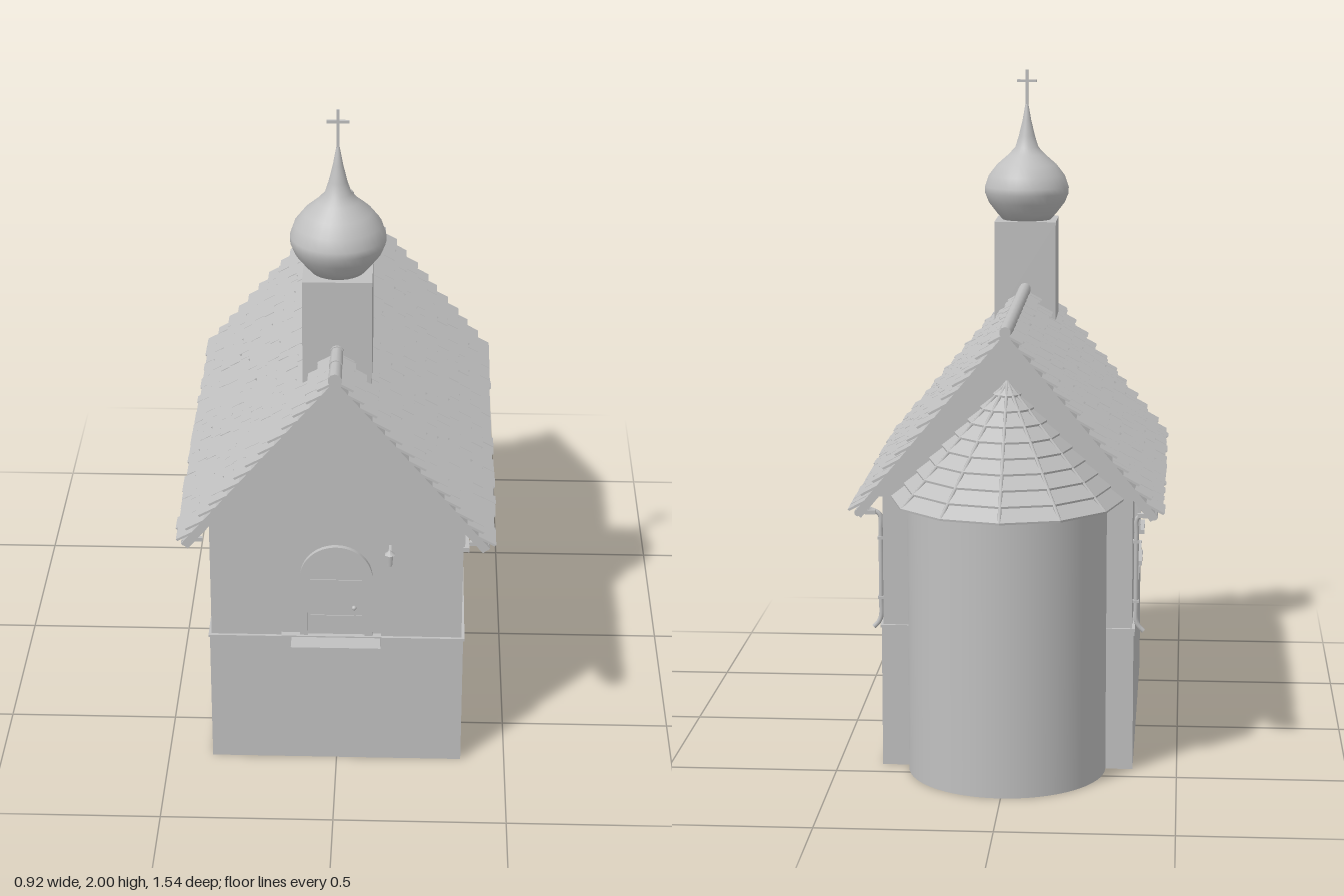
import * as THREE from 'three';
import { mergeGeometries, toCreasedNormals } from 'three/addons/utils/BufferGeometryUtils.js';

const stone = new THREE.MeshStandardMaterial({ color: 0xc0c0c0 });
stone.name = 'stone grey';

function add(parent, name, geometry, x = 0, y = 0, z = 0) {
  const mesh = new THREE.Mesh(geometry, stone);
  mesh.name = name;
  mesh.position.set(x, y, z);
  parent.add(mesh);
  return mesh;
}
function subgroup(parent, name) {
  const g = new THREE.Group();
  g.name = name;
  parent.add(g);
  return g;
}
const box = (w, h, d) => new THREE.BoxGeometry(w, h, d);
const extrude = (shape, depth) =>
  new THREE.ExtrudeGeometry(shape, { depth, bevelEnabled: false, curveSegments: 12 });

function flat(geometry) {
  const g = geometry.toNonIndexed();
  g.computeVertexNormals();
  return g;
}
// Small seeded generator for the uneven shingles
function seeded(seed) {
  return () => (seed = (seed * 16807) % 2147483647) / 2147483647;
}
// Round-headed outline standing on y = 0
function arch(Type, halfWidth, height, bottom = 0) {
  const s = new Type();
  s.moveTo(-halfWidth, bottom);
  s.lineTo(halfWidth, bottom);
  s.lineTo(halfWidth, height - halfWidth);
  s.absarc(0, height - halfWidth, halfWidth, 0, Math.PI, false);
  s.closePath();
  return s;
}
function archFrame(outer, inner, height, depth) {
  const s = arch(THREE.Shape, outer, height);
  s.holes.push(arch(THREE.Path, inner, height - (outer - inner), 0.006));
  return toCreasedNormals(extrude(s, depth), 0.6);
}

// Walls: plinth, gabled nave above it and the ledge stones between them
function buildWalls(root) {
  const walls = subgroup(root, 'walls');
  add(walls, 'plinth', box(0.74, 0.42, 1.12), 0, 0.21, 0.13);
  const gable = new THREE.Shape([[-0.365, 0.4], [0.365, 0.4], [0.365, 0.845], [0, 1.28], [-0.365, 0.845]]
    .map(p => new THREE.Vector2(...p)));
  add(walls, 'nave', extrude(gable, 1.11), 0, 0, -0.425);
  add(walls, 'ledge', box(0.748, 0.008, 1.128), 0, 0.424, 0.13);
  for (const s of [-1, 1]) {
    for (let i = 0; i < 9; i++)
      add(walls, 'sideLedgeTab', box(0.006, 0.022, 0.008), s * 0.37, 0.41, -0.4 + i * 0.132);
    for (const x of [0.2, 0.33])
      add(walls, 'frontLedgeTab', box(0.008, 0.022, 0.006), s * x, 0.41, 0.69);
  }
}

// One roof slope, hanging from the ridge towards +x
const PITCH = Math.atan2(0.53, 0.44);
const ROOF_LENGTH = 1.28;
function buildSlope(parent, seed) {
  const slope = subgroup(parent, 'roofSlope');
  slope.position.y = 1.31;
  slope.rotation.z = -PITCH;
  add(slope, 'roofDeck', box(0.685, 0.025, ROOF_LENGTH), 0.3425, -0.0125);
  const random = seeded(seed);
  const tiles = [];
  const rows = 13, step = 0.685 / rows;
  for (let r = 0; r < rows; r++) {
    let z = -ROOF_LENGTH / 2;
    while (z < ROOF_LENGTH / 2 - 0.001) {
      let width = 0.04 + random() * 0.05;
      if (z + width > ROOF_LENGTH / 2 - 0.025) width = ROOF_LENGTH / 2 - z;
      const g = box(step + 0.008, 0.007, width);
      g.rotateZ(0.12);
      g.translate((r + 0.5) * step + (random() - 0.5) * 0.009, 0.0045 + random() * 0.002, z + width / 2);
      // Lift the lower edge so each course overlaps the next
      const p = g.attributes.position;
      for (let i = 0; i < p.count; i++) {
        const t = (p.getX(i) - r * step) / step;
        p.setY(i, p.getY(i) + (t - 0.5) * 0.0145);
      }
      g.computeVertexNormals();
      tiles.push(g);
      z += width;
    }
  }
  add(slope, 'shingles', mergeGeometries(tiles));
}

function buildRoof(root) {
  const roof = subgroup(root, 'roof');
  for (const side of [0, 1]) {
    const half = subgroup(roof, 'roofHalf');
    half.position.z = 0.13;
    half.rotation.y = side * Math.PI;
    buildSlope(half, 17 + side * 40);
    // Gutter and its brackets
    add(half, 'gutter', new THREE.CylinderGeometry(0.011, 0.011, 1.26, 10).rotateX(Math.PI / 2), 0.428, 0.78);
    for (let i = 0; i < 6; i++)
      add(half, 'gutterBracket', box(0.05, 0.012, 0.012), 0.405, 0.776, -0.6 + i * 0.24);
  }
  // Overlapping ridge tiles
  const count = 15, length = ROOF_LENGTH / count;
  for (let i = 0; i < count; i++) {
    const tile = new THREE.CylinderGeometry(0.02, 0.017, length + 0.008, 10).rotateX(Math.PI / 2);
    add(roof, 'ridgeTile', tile, 0, 1.312, -0.51 + (i + 0.5) * length);
  }
}

// Rounded apse with a shingled half-cone roof
function buildApse(root) {
  const apse = subgroup(root, 'apse');
  apse.position.z = -0.43;
  const shell = new THREE.CylinderGeometry(0.29, 0.29, 0.83, 32, 1, true, Math.PI / 2, Math.PI);
  add(apse, 'apseWall', shell, 0, 0.415);
  const rows = 9, points = [new THREE.Vector2(0.27, 0.815)];
  for (let i = 0; i < rows; i++) {
    const at = k => [0.335 * (1 - k / rows), 0.81 + 0.345 * k / rows];
    const [r0, y0] = at(i), [r1, y1] = at(i + 1);
    points.push(new THREE.Vector2(r0 + 0.003, y0), new THREE.Vector2(r0 + 0.004, y0 + 0.006),
      new THREE.Vector2(Math.max(r1 - 0.003, 0), y1 + 0.002));
  }
  add(apse, 'apseRoof', flat(new THREE.LatheGeometry(points, 6, Math.PI / 2, Math.PI)));
  // Hip strips between the facets
  for (let i = 1; i < 6; i++) {
    const a = Math.PI / 2 + i * Math.PI / 6;
    const path = new THREE.LineCurve3(
      new THREE.Vector3(0.335 * Math.sin(a), 0.814, 0.335 * Math.cos(a)), new THREE.Vector3(0, 1.158, 0));
    add(apse, 'hipStrip', new THREE.TubeGeometry(path, 1, 0.005, 6));
  }
}

// Bell turret, onion dome and cross
function buildTurret(root) {
  const turret = subgroup(root, 'turret');
  turret.position.z = 0.5;
  add(turret, 'turretShaft', box(0.195, 0.315, 0.19), 0, 1.3675);
  const profile = [[0, 1.522], [0.075, 1.522], [0.095, 1.545], [0.122, 1.58], [0.134, 1.61], [0.134, 1.63],
    [0.122, 1.665], [0.095, 1.7], [0.058, 1.732], [0.037, 1.755], [0.026, 1.79], [0.014, 1.84], [0.005, 1.89], [0, 1.9]]
    .map(p => new THREE.Vector2(...p));
  add(turret, 'onionDome', new THREE.LatheGeometry(profile, 32));
  add(turret, 'crossPost', box(0.008, 0.13, 0.008), 0, 1.935);
  add(turret, 'crossArm', box(0.062, 0.008, 0.008), 0, 1.965);
}

// Front door with frame, steps and wall lamp
function buildEntrance(root) {
  const entrance = subgroup(root, 'entrance');
  entrance.position.z = 0.685;
  add(entrance, 'doorFrame', archFrame(0.105, 0.083, 0.305, 0.014), 0, 0.43);
  add(entrance, 'doorLeaf', toCreasedNormals(extrude(arch(THREE.Shape, 0.085, 0.285), 0.006), 0.6), 0, 0.43);
  for (const y of [0.5, 0.62]) add(entrance, 'doorRail', box(0.15, 0.004, 0.003), 0, y, 0.007);
  add(entrance, 'doorKnob', new THREE.SphereGeometry(0.007, 10, 8), 0.052, 0.53, 0.011);
  add(entrance, 'upperStep', box(0.26, 0.036, 0.075), 0, 0.415, 0.0375);
  add(entrance, 'lowerStep', box(0.225, 0.018, 0.02), 0, 0.389, 0.014);
  add(entrance, 'stepSlab', box(0.29, 0.008, 0.02), -0.015, 0.433, 0.01);
  const lamp = subgroup(entrance, 'wallLamp');
  lamp.position.set(0.155, 0.72, 0);
  add(lamp, 'lampArm', box(0.008, 0.008, 0.045), 0, 0.014, 0.0225);
  add(lamp, 'lampGlass', new THREE.CylinderGeometry(0.011, 0.007, 0.038, 6), 0, -0.008, 0.04);
  add(lamp, 'lampCap', new THREE.ConeGeometry(0.016, 0.014, 6), 0, 0.018, 0.04);
}

// Arched side windows and downpipes
function buildSides(root) {
  for (const s of [-1, 1]) {
    for (const z of [0.335, -0.08]) {
      const win = subgroup(root, 'sideWindow');
      win.position.set(s * 0.364, 0.56, z);
      win.rotation.y = s * Math.PI / 2;
      add(win, 'windowFrame', archFrame(0.066, 0.048, 0.25, 0.012));
      add(win, 'windowPane', toCreasedNormals(extrude(arch(THREE.Shape, 0.05, 0.235), 0.004), 0.6));
      add(win, 'windowMullion', box(0.007, 0.225, 0.008), 0, 0.115, 0.004);
      add(win, 'windowBar', box(0.096, 0.007, 0.008), 0, 0.13, 0.004);
      add(win, 'windowSill', box(0.145, 0.014, 0.025), 0, -0.003, 0.012);
    }
    const path = new THREE.CatmullRomCurve3([[0.43, 0.778], [0.405, 0.765], [0.378, 0.75], [0.376, 0.7],
      [0.376, 0.5], [0.377, 0.44], [0.386, 0.422], [0.398, 0.41]]
      .map(([x, y]) => new THREE.Vector3(s * x, y, -0.385)));
    add(root, 'downpipe', new THREE.TubeGeometry(path, 40, 0.007, 8));
    for (const y of [0.5, 0.68])
      add(root, 'pipeClamp', box(0.022, 0.008, 0.018), s * 0.374, y, -0.385);
  }
}

export function createModel() {
  const model = new THREE.Group();
  model.name = 'chapel';
  buildWalls(model);
  buildRoof(model);
  buildApse(model);
  buildTurret(model);
  buildEntrance(model);
  buildSides(model);
  return model;
}
